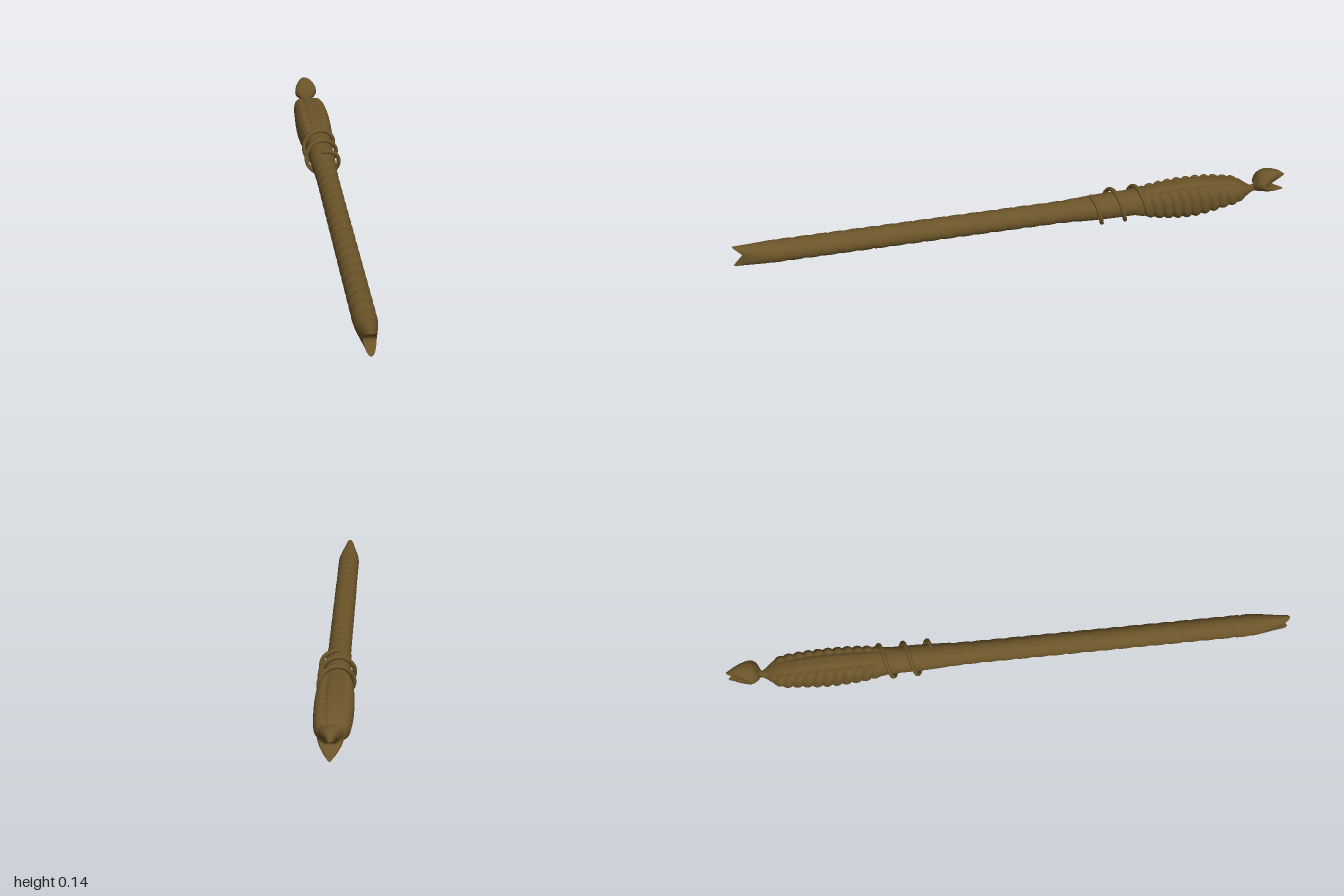
import * as THREE from 'three';

const TAU = Math.PI * 2, AXIS = 0.078;
const { lerp, smoothstep } = THREE.MathUtils;
const material = new THREE.MeshStandardMaterial({ color: 0x6b5429 });

// Smooth profile through evenly spaced values, read with t in 0..1
function profile(...values) {
  const curve = new THREE.SplineCurve(values.map((v, i) => new THREE.Vector2(i, v)));
  return t => curve.getPoint(t).y;
}

// Closed skin: point(t, angle) gives [x, y, z]; t runs towards -z, angle 0 is the top
function skin(name, point, rings, sides) {
  const positions = [], index = [];
  for (let i = 0; i <= rings; i++) {
    for (let j = 0; j < sides; j++) positions.push(...point(i / rings, j / sides * TAU));
  }
  for (let i = 0; i < rings; i++) {
    for (let j = 0; j < sides; j++) {
      const k = (j + 1) % sides;
      const a = i * sides + j, b = i * sides + k;
      index.push(a, b, a + sides, b, b + sides, a + sides);
    }
  }
  const geometry = new THREE.BufferGeometry();
  geometry.setAttribute('position', new THREE.Float32BufferAttribute(positions, 3));
  geometry.setIndex(index);
  geometry.computeVertexNormals();
  const mesh = new THREE.Mesh(geometry, material);
  mesh.name = name;
  return mesh;
}

// Rounded-square power of a sine or cosine
const soft = (v, power) => Math.sign(v) * Math.abs(v) ** power;

// Shaft with spiral grooves, flattened and forked at the tip
const TIP = 0.84;
function shaftPoint(z, a) {
  const tip = smoothstep(z, TIP, 1);
  let r = lerp(0.047, 0.04, smoothstep(z, -0.36, -0.12));
  const bulge = Math.abs(Math.sin(Math.PI * (z / 0.06 + a / TAU))) ** 0.5;
  r -= 0.0035 * (1 - bulge) * smoothstep(z, -0.26, -0.2) * (1 - smoothstep(z, 0.82, 0.92));
  const along = Math.max(0, (z - TIP) / (1 - TIP));
  const notch = 0.04 * (1 - Math.abs(Math.cos(a)) ** 1.6) * along ** 2;
  const width = lerp(1, 0.52, 0.5 * tip + 0.5 * along ** 1.5);
  return [Math.sin(a) * r * width, AXIS + Math.cos(a) * r, z - notch];
}

// Grip: rounded-square body with slanting side ribs and a spine on top
const gripTop = profile(0.122, 0.126, 0.133, 0.138, 0.139, 0.136, 0.127, 0.111, 0.078);
const gripBottom = profile(0.04, 0.028, 0.014, 0.006, 0.002, 0.009, 0.022, 0.036, 0.058);
const gripWidth = profile(0.042, 0.05, 0.057, 0.06, 0.061, 0.06, 0.057, 0.05, 0.011);
function gripPoint(t, a) {
  const c = Math.cos(a), s = Math.sin(a);
  const z = lerp(-0.4, -0.88, t);
  const fade = smoothstep(t, 0.08, 0.2) * (1 - smoothstep(t, 0.88, 0.97));
  const side = smoothstep(Math.abs(s), 0.3, 0.6) * fade;
  const rib = Math.abs(Math.sin(Math.PI * (z / 0.035 - c * 0.45))) ** 0.7;
  const fromTop = Math.min(a, TAU - a);
  const groove = 0.07 * Math.exp(-(((fromTop - 0.38) / 0.13) ** 2)) * fade;
  const scale = 1 + side * 0.14 * (rib - 0.55) - groove;
  const top = gripTop(t), bottom = gripBottom(t);
  const mid = (top + bottom) / 2, half = (top - bottom) / 2;
  return [soft(s, 0.78) * gripWidth(t) * scale, mid + soft(c, 0.78) * half * scale, z];
}

// Serpent head: the end ring is notched to open the jaws
const headTop = profile(0.095, 0.126, 0.137, 0.141, 0.138, 0.13, 0.115);
const headBottom = profile(0.062, 0.058, 0.057, 0.054, 0.052, 0.05, 0.05);
const headWidth = profile(0.01, 0.028, 0.038, 0.042, 0.039, 0.031, 0.017);
function headPoint(t, a) {
  const c = Math.cos(a), top = headTop(t), bottom = headBottom(t);
  const end = -1 + 0.062 * (1 - Math.abs(c) ** 1.4);
  return [Math.sin(a) * headWidth(t), (top + bottom) / 2 + c * (top - bottom) / 2, lerp(-0.88, end, t)];
}

// Tube along points, with a round bead at each end
function vine(name, points, radius, segments) {
  const group = new THREE.Group();
  group.name = name;
  const curve = new THREE.CatmullRomCurve3(points);
  group.add(new THREE.Mesh(new THREE.TubeGeometry(curve, segments, radius, 10), material));
  for (const p of [points[0], points[points.length - 1]]) {
    const bead = new THREE.Mesh(new THREE.SphereGeometry(radius, 12, 8), material);
    bead.position.copy(p);
    group.add(bead);
  }
  return group;
}

export function createModel() {
  const model = new THREE.Group();
  model.name = 'wand';

  model.add(skin('shaft', (t, a) => shaftPoint(lerp(1, -0.46, t), a), 420, 40));

  // Closing face of the forked tip
  model.add(skin('forkedTip', (t, a) => {
    const [x, y, z] = shaftPoint(1, a);
    return [x * t, y, z];
  }, 4, 40));

  model.add(skin('ribbedGrip', gripPoint, 200, 72));

  // Vine coiled loosely around the front of the grip
  const coil = [];
  for (let i = 0; i <= 56; i++) {
    const turn = i / 56 * 2.3, a = turn * TAU;
    const r = 0.058 - 0.008 * (1 - smoothstep(turn, 0, 0.2));
    coil.push(new THREE.Vector3(Math.sin(a) * r, AXIS + Math.cos(a) * r, -0.272 - 0.086 * turn));
  }
  model.add(vine('coiledVine', coil, 0.0075, 180));

  // Thin neck between grip and head
  model.add(vine('neck', [
    new THREE.Vector3(0, 0.072, -0.85),
    new THREE.Vector3(0, 0.069, -0.875),
    new THREE.Vector3(0, 0.082, -0.905)
  ], 0.013, 16));

  model.add(skin('head', headPoint, 40, 40));

  // Inside of the open jaws
  model.add(skin('mouth', (t, a) => {
    const [x, y, z] = headPoint(1, a);
    return [x * (1 - t), y, z];
  }, 4, 40));

  return model;
}
